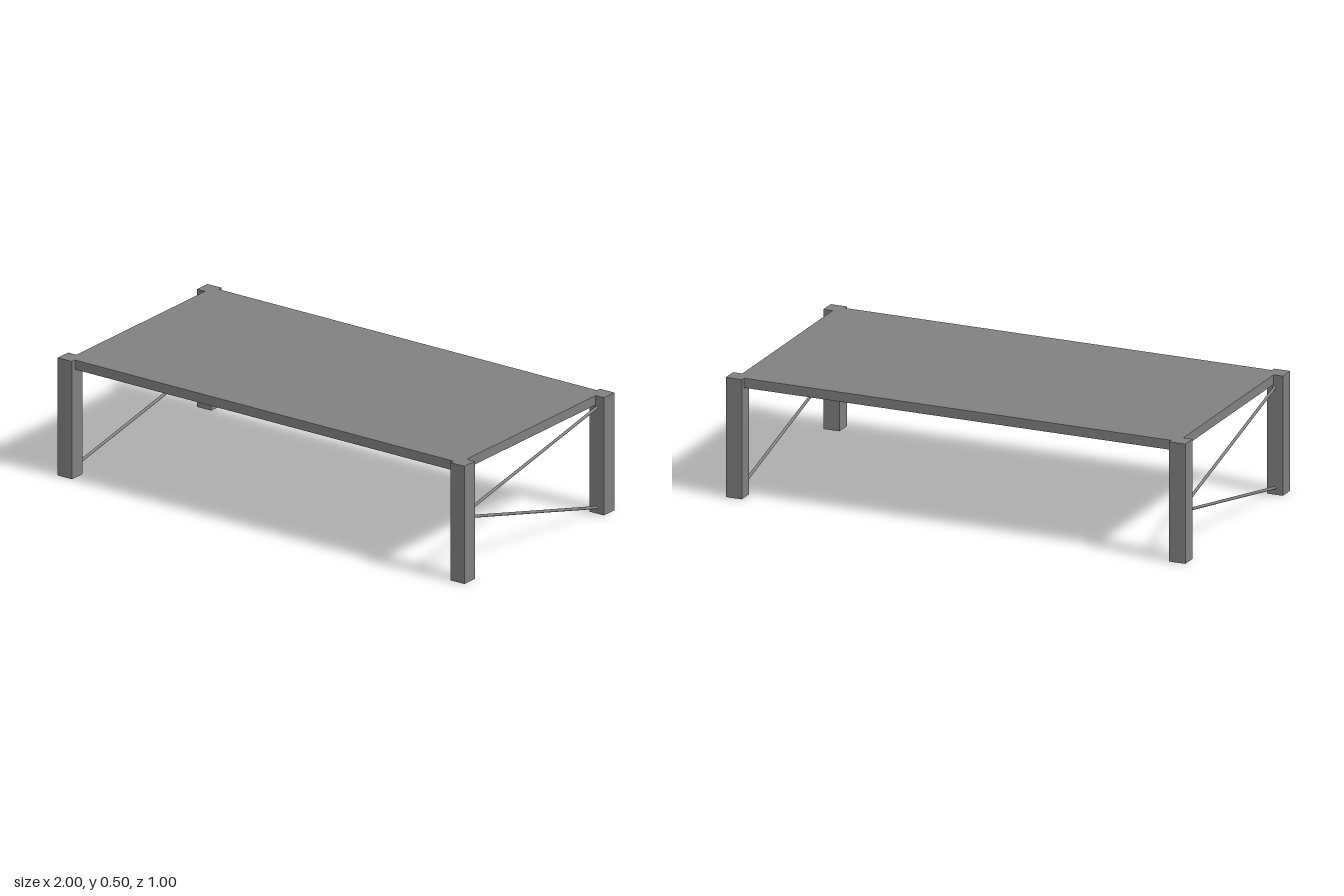
import * as THREE from 'three';

const material = new THREE.MeshStandardMaterial({ color: 0x808080 });
const LEG = 0.07;       // square leg section
const HEIGHT = 0.5;
const TOP_THICK = 0.04;
const TOP_X = 0.96;     // half length of the top
const TOP_Z = 0.48;     // half depth of the top
const IN_X = 1 - LEG;   // inner faces of the legs
const IN_Z = 0.5 - LEG;

function add(group, name, geometry) {
  const mesh = new THREE.Mesh(geometry, material);
  mesh.name = name;
  group.add(mesh);
  return mesh;
}

// Thin round rod between two points
function addRod(group, name, a, b) {
  const dir = b.clone().sub(a);
  const rod = add(group, name, new THREE.CylinderGeometry(0.006, 0.006, dir.length(), 16));
  rod.position.copy(a).add(b).multiplyScalar(0.5);
  rod.quaternion.setFromUnitVectors(new THREE.Vector3(0, 1, 0), dir.normalize());
}

export function createModel() {
  const table = new THREE.Group();
  table.name = 'lowTable';

  // Table top, notched at the corners to fit around the legs
  const outline = new THREE.Shape([
    [-IN_X, -TOP_Z], [IN_X, -TOP_Z], [IN_X, -IN_Z], [TOP_X, -IN_Z],
    [TOP_X, IN_Z], [IN_X, IN_Z], [IN_X, TOP_Z], [-IN_X, TOP_Z],
    [-IN_X, IN_Z], [-TOP_X, IN_Z], [-TOP_X, -IN_Z], [-IN_X, -IN_Z],
  ].map(([x, z]) => new THREE.Vector2(x, z)));
  const topGeometry = new THREE.ExtrudeGeometry(outline, { depth: TOP_THICK, bevelEnabled: false });
  topGeometry.rotateX(-Math.PI / 2);
  add(table, 'tableTop', topGeometry).position.y = HEIGHT - TOP_THICK;

  // Four square legs, flush with the top surface
  for (const sx of [1, -1]) {
    for (const sz of [1, -1]) {
      const name = (sz > 0 ? 'front' : 'back') + (sx > 0 ? 'Left' : 'Right') + 'Leg';
      add(table, name, new THREE.BoxGeometry(LEG, HEIGHT, LEG))
        .position.set(sx * (1 - LEG / 2), HEIGHT / 2, sz * (0.5 - LEG / 2));
    }
  }

  // V-shaped bracing at each end: [side, height at front leg, height at back leg]
  const braces = [
    [1, 0.281, 0.451], [1, 0.257, 0.025],
    [-1, 0.449, 0.218], [-1, 0.028, 0.197],
  ];
  for (const [side, yFront, yBack] of braces) {
    const x = side * (1 - LEG / 2);
    addRod(table, side > 0 ? 'leftBrace' : 'rightBrace',
      new THREE.Vector3(x, yFront, IN_Z + 0.003), new THREE.Vector3(x, yBack, -IN_Z - 0.003));
  }

  return table;
}
